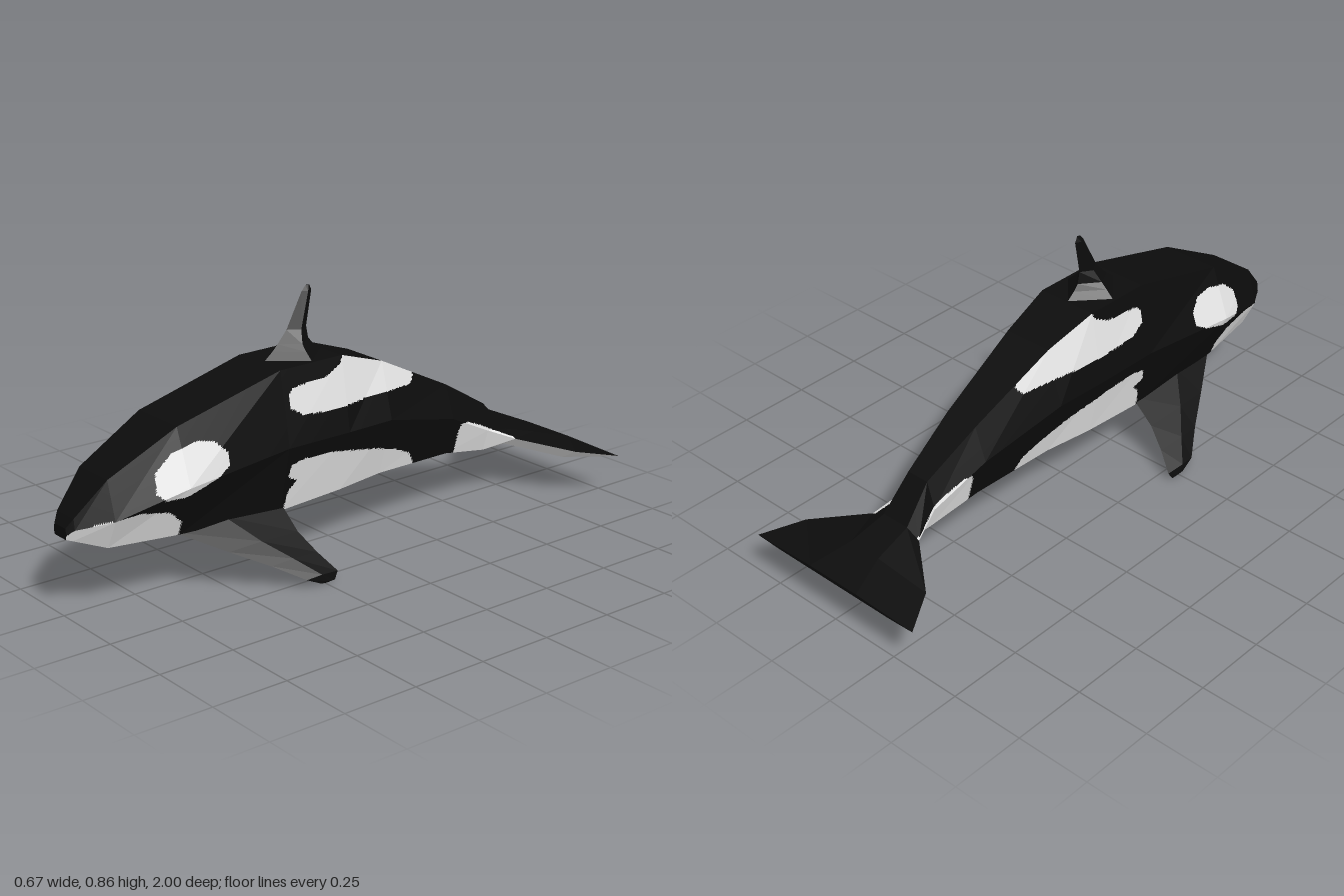
import * as THREE from 'three';

const black = new THREE.MeshStandardMaterial({ color: 0x0c0c0c, name: 'black skin' });
const white = new THREE.MeshStandardMaterial({ color: 0xf0f0f0, name: 'white skin' });

// Side markings as outlines of [z, y]
const markings = [
  // eye patch
  [[.75, .36], [.74, .42], [.68, .47], [.6, .49], [.54, .48], [.5, .44], [.5, .4], [.55, .37], [.66, .335], [.72, .335]],
  // chin
  [[1.01, .255], [.98, .28], [.9, .3], [.8, .31], [.7, .29], [.655, .25], [.65, .1], [1.01, .1]],
  // flank
  [[.25, .56], [.23, .58], [.17, .585], [.1, .59], [.04, .62], [0, .7], [-.25, .6], [-.29, .51], [-.27, .485],
    [-.1, .49], [.02, .485], [.12, .485], [.2, .49], [.25, .52]],
  // belly
  [[.26, .3], [.25, .34], [.2, .35], [.08, .345], [-.1, .31], [-.2, .28], [-.27, .25], [-.3, .2], [-.3, .1],
    [.26, .1], [.26, .2], [.25, .25], [.22, .28], [.25, .29]],
  // tail stock
  [[-.49, .28], [-.5, .3], [-.53, .3], [-.6, .27], [-.66, .24], [-.745, .2], [-.745, .1], [-.49, .1]],
];

function inside(z, y, poly) {
  let hit = false;
  for (let i = 0, j = poly.length - 1; i < poly.length; j = i++) {
    const [a, b] = poly[i], [c, d] = poly[j];
    if ((b > y) !== (d > y) && z < a + (c - a) * (y - b) / (d - b)) hit = !hit;
  }
  return hit;
}

// Visits the triangles of a closed loft through rings of Vector3, with capped ends
function loftFaces(rings, visit) {
  const n = rings[0].length, last = rings[rings.length - 1];
  for (let i = 0; i < rings.length - 1; i++) {
    for (let j = 0; j < n; j++) {
      const k = (j + 1) % n;
      const a = rings[i][j], b = rings[i][k], c = rings[i + 1][k], d = rings[i + 1][j];
      visit(a, d, c, i, j);
      visit(a, c, b, i, j);
    }
  }
  for (let j = 1; j < n - 1; j++) {
    visit(rings[0][0], rings[0][j], rings[0][j + 1], -1, j);
    visit(last[0], last[j + 1], last[j], rings.length, j);
  }
}

function flatGeometry(points) {
  const g = new THREE.BufferGeometry().setFromPoints(points);
  g.computeVertexNormals();
  return g;
}

function loftMesh(name, rings) {
  const points = [];
  loftFaces(rings, (a, b, c) => points.push(a, b, c));
  const mesh = new THREE.Mesh(flatGeometry(points), black);
  mesh.name = name;
  return mesh;
}

// Splits a triangle into n * n equal ones
function split(a, b, c, n, visit) {
  const at = (i, j) => a.clone().addScaledVector(b.clone().sub(a), i / n).addScaledVector(c.clone().sub(a), j / n);
  for (let i = 0; i < n; i++) {
    for (let j = 0; j < n - i; j++) {
      visit(at(i, j), at(i + 1, j), at(i, j + 1));
      if (i + j < n - 1) visit(at(i + 1, j), at(i + 1, j + 1), at(i, j + 1));
    }
  }
}

// Hexagonal stations: z, then x and y of the bottom, middle and top corners
const stations = [
  [1, .03, .25, .035, .265, .03, .285],
  [.98, .036, .243, .05, .28, .045, .315],
  [.88, .065, .205, .112, .3, .075, .42],
  [.65, .1, .2, .165, .365, .1, .54],
  [.27, .1, .183, .149, .4, .105, .64],
  [.03, .095, .195, .145, .4, .105, .643],
  [-.15, .08, .205, .137, .4, .085, .585],
  [-.45, .065, .2, .1, .33, .06, .44],
  [-.64, .045, .165, .068, .24, .04, .33],
  [-.74, .045, .165, .1, .197, .05, .22],
  [-.87, .2, .13, .26, .165, .06, .185],
  [-1, .24, .138, .335, .142, .1, .15],
];
const flukeStart = 9;

function buildBody(group) {
  const rings = stations.map(([z, bx, by, mx, my, tx, ty]) =>
    [[bx, by], [mx, my], [tx, ty], [-tx, ty], [-mx, my], [-bx, by]].map(([x, y]) => new THREE.Vector3(x, y, z)));
  const skin = [], patches = [], flukeTop = [], flukeUnder = [];
  loftFaces(rings, (a, b, c, i, j) => {
    if (i >= flukeStart) {
      // flukes: black above, white below
      const under = i < rings.length && (j === 0 || j >= 4);
      (under ? flukeUnder : flukeTop).push(a, b, c);
    } else if (i < 0 || j === 2) {
      skin.push(a, b, c);
    } else if (j === 5) {
      patches.push(a, b, c);
    } else {
      // sides: cut finely and sorted by the markings
      const longest = Math.max(a.distanceTo(b), b.distanceTo(c), c.distanceTo(a));
      split(a, b, c, Math.ceil(longest / .01), (p, q, r) => {
        const z = (p.z + q.z + r.z) / 3, y = (p.y + q.y + r.y) / 3;
        (markings.some(m => inside(z, y, m)) ? patches : skin).push(p, q, r);
      });
    }
  });
  const parts = [['bodySkin', skin, black], ['whiteMarkings', patches, white],
    ['flukeTop', flukeTop, black], ['flukeUnderside', flukeUnder, white]];
  for (const [name, points, material] of parts) {
    const mesh = new THREE.Mesh(flatGeometry(points), material);
    mesh.name = name;
    group.add(mesh);
  }
}

// Dorsal fin rings: y, front z, back z, half width
function buildDorsalFin() {
  const rings = [
    [.855, .09, .075, .005], [.838, .105, .067, .009], [.725, .165, .088, .025],
    [.685, .2, .08, .048], [.665, .22, .062, .068], [.636, .255, .025, .1],
  ].map(([y, f, b, w]) => {
    const m = (f + b) / 2;
    return [[0, f], [w, m], [0, b], [-w, m]].map(([x, z]) => new THREE.Vector3(x, y, z));
  });
  return loftMesh('dorsalFin', rings);
}

// Flipper rings: x, y, front z, back z, half thickness
function buildFlipper(side) {
  const rings = [
    [.3, .004, .268, .215, .006], [.295, .028, .32, .2, .008], [.235, .078, .41, .232, .009],
    [.17, .132, .52, .257, .01], [.085, .205, .66, .26, .012],
  ].map(([x, y, f, b, t]) => {
    const m = f * .55 + b * .45, o = t * .7;
    const ring = [[x, y, b], [x + o, y + o, m], [x, y, f], [x - o, y - o, m]]
      .map(([px, py, pz]) => new THREE.Vector3(side * px, Math.max(py, 0), pz));
    return side > 0 ? ring : ring.reverse();
  });
  return loftMesh(side > 0 ? 'leftFlipper' : 'rightFlipper', rings);
}

export function createModel() {
  const group = new THREE.Group();
  group.name = 'whale';
  buildBody(group);
  group.add(buildDorsalFin(), buildFlipper(1), buildFlipper(-1));
  return group;
}
